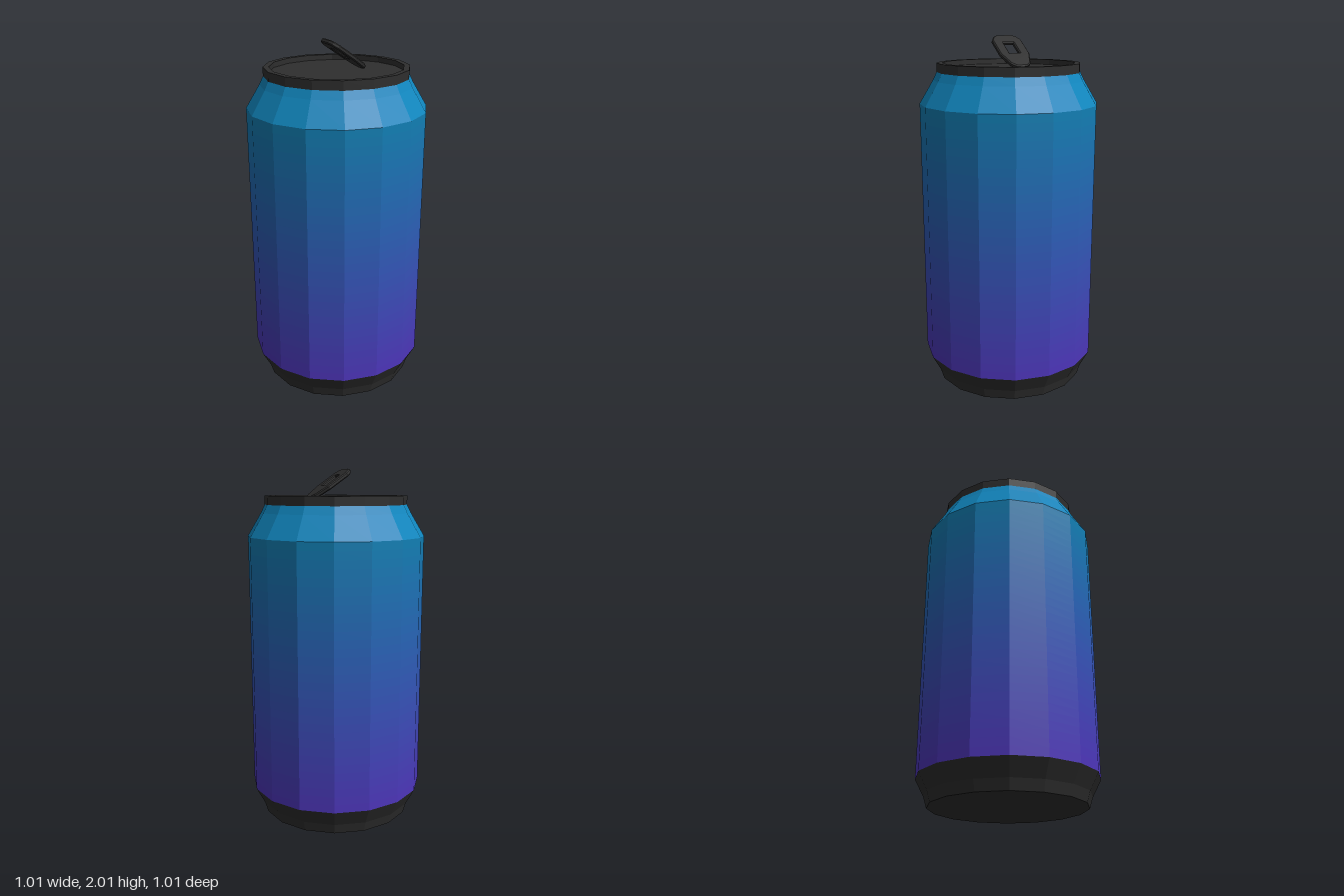
import * as THREE from 'three';

const SIDES = 16;
const dark = new THREE.MeshStandardMaterial({ color: 0x2e2e2e, flatShading: true });
const paint = (color) => new THREE.MeshStandardMaterial({ color, flatShading: true });

// Faceted solid of revolution from [radius, height] pairs, bottom to top
function turned(name, profile, material) {
  const points = profile.map(([r, y]) => new THREE.Vector2(r, y));
  const mesh = new THREE.Mesh(new THREE.LatheGeometry(points, SIDES), material);
  mesh.name = name;
  return mesh;
}

// Mix two sRGB colours given as [r, g, b] in 0..255
function mix(a, b, t) {
  const [r, g, bl] = a.map((v, i) => (v + (b[i] - v) * t) / 255);
  return new THREE.Color().setRGB(r, g, bl, THREE.SRGBColorSpace);
}

// Tilted pull tab: rounded plate with a square hole
function createTab() {
  const half = [[-0.139, 0.045], [-0.125, 0.07], [-0.095, 0.09], [0.03, 0.09], [0.115, 0.06], [0.139, 0.03]];
  const outline = [...half, ...half.map(([x, y]) => [x, -y]).reverse()];
  const shape = new THREE.Shape(outline.map(([x, y]) => new THREE.Vector2(x, y)));
  const hole = [[-0.07, -0.031], [0.025, -0.031], [0.025, 0.031], [-0.07, 0.031]];
  shape.holes.push(new THREE.Path(hole.map(([x, y]) => new THREE.Vector2(x, y))));
  const geometry = new THREE.ExtrudeGeometry(shape, {
    depth: 0.013, bevelEnabled: true, bevelThickness: 0.006, bevelSize: 0.006, bevelOffset: -0.006, bevelSegments: 1,
  });
  geometry.translate(0, 0, -0.0065).rotateX(-Math.PI / 2).rotateZ(-0.6);
  const tab = new THREE.Mesh(geometry, dark);
  tab.name = 'pullTab';
  tab.position.set(0.046, 1.921, 0);
  return tab;
}

export function createModel() {
  const can = new THREE.Group();
  can.name = 'drinkCan';

  // Tapered foot with a closed underside
  can.add(turned('base', [[0, 0], [0.437, 0], [0.455, 0.06], [0.505, 0.155]], dark));

  // Straight wall in thin bands, fading from violet up to blue
  const violet = [78, 52, 186], blue = [17, 128, 180];
  const wall = new THREE.Group();
  wall.name = 'wall';
  const bands = 32, bottom = 0.155, top = 1.635;
  for (let i = 0; i < bands; i++) {
    const y0 = bottom + (top - bottom) * i / bands;
    const y1 = bottom + (top - bottom) * (i + 1) / bands;
    wall.add(turned('wallBand', [[0.505, y0], [0.505, y1]], paint(mix(violet, blue, (i + 0.5) / bands))));
  }
  can.add(wall);

  // Shoulder narrowing to the neck
  can.add(turned('shoulder', [[0.505, 1.635], [0.427, 1.765], [0.405, 1.81]], paint(mix(blue, [17, 134, 190], 1))));

  // Rim and sunken lid
  can.add(turned('rim', [[0.4, 1.81], [0.405, 1.81], [0.405, 1.86], [0.372, 1.86], [0.372, 1.83]], dark));
  can.add(turned('lid', [[0.372, 1.83], [0, 1.83]], dark));
  can.add(createTab());

  return can;
}
